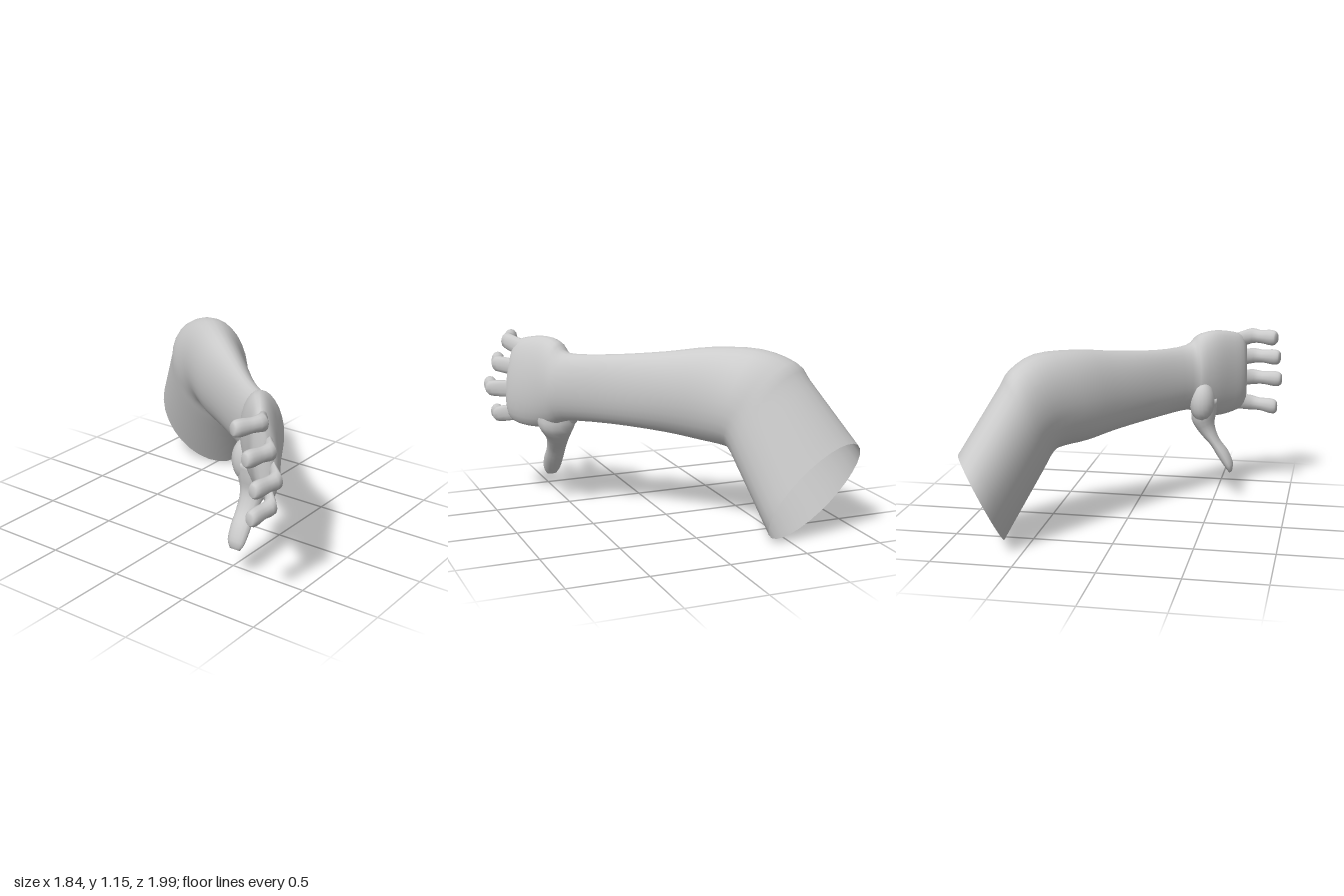
import * as THREE from 'three';

const V = (p) => new THREE.Vector3(...p);
const skin = new THREE.MeshStandardMaterial({ color: 0xcccccc, side: THREE.DoubleSide });

// Loft through elliptical sections [centre, half axis a, half axis b],
// listed so that a x b points along the loft; the ends can be closed.
function loft(name, sections, sides, steps, capStart, capEnd) {
  const [cs, as, bs] = [0, 1, 2].map(
    (k) => new THREE.CatmullRomCurve3(sections.map((s) => V(s[k])), false, 'catmullrom', 0.5));
  const rows = (sections.length - 1) * steps;
  const pos = [], idx = [];
  for (let i = 0; i <= rows; i++) {
    const t = i / rows;
    const c = cs.getPoint(t), a = as.getPoint(t), b = bs.getPoint(t);
    for (let j = 0; j < sides; j++) {
      const w = (j / sides) * Math.PI * 2;
      const p = c.clone().addScaledVector(a, Math.cos(w)).addScaledVector(b, Math.sin(w));
      pos.push(p.x, p.y, p.z);
    }
  }
  for (let i = 0; i < rows; i++) {
    for (let j = 0; j < sides; j++) {
      const k = (j + 1) % sides;
      const p = i * sides + j, q = i * sides + k;
      idx.push(p, q, p + sides, q, q + sides, p + sides);
    }
  }
  const cap = (row, centre, flip) => {
    const m = pos.length / 3;
    pos.push(...centre);
    for (let j = 0; j < sides; j++) {
      const p = row * sides + j, q = row * sides + ((j + 1) % sides);
      idx.push(m, ...(flip ? [q, p] : [p, q]));
    }
  };
  if (capStart) cap(0, sections[0][0], true);
  if (capEnd) cap(rows, sections[sections.length - 1][0], false);
  const g = new THREE.BufferGeometry();
  g.setAttribute('position', new THREE.Float32BufferAttribute(pos, 3));
  g.setIndex(idx);
  g.computeVertexNormals();
  const mesh = new THREE.Mesh(g, skin);
  mesh.name = name;
  return mesh;
}

const lerpSection = (s, e, t) =>
  s.map((v, k) => v.map((x, i) => x + (e[k][i] - x) * t));

// Palm, wrist, forearm, bent elbow and open upper arm
function makeArm() {
  const elbow = [[0.515, 0.795, -0.435], [0.085, 0.28, -0.14], [0.12, 0, 0.215]];
  const end = [[0.775, 0.3, -0.665], [0.083, 0.3, -0.168], [0.119, 0, 0.29]];
  return loft('arm', [
    [[-0.675, 0.84, 0.83], [0, 0.19, -0.02], [0.01, 0, 0.03]],
    [[-0.64, 0.84, 0.81], [0, 0.26, -0.03], [0.03, 0, 0.065]],
    [[-0.56, 0.84, 0.75], [0, 0.292, -0.03], [0.035, 0, 0.09]],
    [[-0.46, 0.845, 0.665], [0, 0.3, -0.02], [0.05, 0, 0.105]],
    [[-0.37, 0.845, 0.605], [0, 0.275, -0.01], [0.06, 0, 0.115]],
    [[-0.3, 0.835, 0.555], [0, 0.222, 0], [0.06, 0, 0.105]],
    [[-0.13, 0.835, 0.32], [0, 0.226, 0], [0.07, 0, 0.075]],
    [[0.095, 0.842, 0.045], [0, 0.257, 0], [0.095, 0, 0.095]],
    [[0.27, 0.85, -0.165], [0.02, 0.295, -0.03], [0.12, 0, 0.12]],
    [[0.435, 0.845, -0.33], [0.05, 0.304, -0.08], [0.13, 0, 0.17]],
    elbow,
    lerpSection(elbow, end, 0.2),
    lerpSection(elbow, end, 0.6),
    end,
  ], 28, 3, true, false);
}

// Curled finger: base, middle joint and tip as [x, y, z]
function makeFinger(name, base, joint, tip) {
  const along = V(tip).sub(V(joint));
  const at = (t) => V(joint).addScaledVector(along, t).toArray();
  const n = V([along.z, 0, -along.x]).normalize();
  const sec = (c, h, w) => [c, [0, h, 0], [-n.x * w, 0, -n.z * w]];
  const root = V(base).lerp(V(joint), 0.6).toArray();
  return loft(name, [
    [base, [0, 0.06, 0], [0.03, 0, -0.05]],
    [root, [0, 0.055, 0], [0.02, 0, -0.047]],
    [joint, [0, 0.053, 0], [0, 0, -0.046]],
    sec(at(0.35), 0.045, 0.042),
    sec(at(0.7), 0.053, 0.043),
    sec(at(0.92), 0.05, 0.04),
    sec(at(1.02), 0.034, 0.027),
  ], 12, 2, true, true);
}

// Thumb hanging below the palm, thin across x and wide across z
function makeThumb() {
  const sec = (x, y, z, rx, rz, tilt) => [[x, y, z], [rx, -tilt * rx, 0], [0, 0, rz]];
  return loft('thumb', [
    sec(-0.42, 0.68, 0.6, 0.085, 0.13, 0.1),
    sec(-0.415, 0.57, 0.605, 0.085, 0.125, 0.3),
    sec(-0.44, 0.48, 0.59, 0.05, 0.08, 0.6),
    sec(-0.495, 0.39, 0.585, 0.03, 0.065, 0.6),
    sec(-0.55, 0.31, 0.588, 0.034, 0.066, 0.6),
    sec(-0.595, 0.23, 0.588, 0.026, 0.058, 0.6),
    sec(-0.607, 0.185, 0.588, 0.011, 0.035, 0.5),
  ], 14, 3, true, true);
}

export function createModel() {
  const model = new THREE.Group();
  model.name = 'bentArm';
  model.add(makeArm(), makeThumb());

  const fingers = [
    ['littleFinger', [-0.53, 1.03, 0.735], [-0.71, 1.085, 0.835], [-0.88, 1.085, 0.765]],
    ['ringFinger', [-0.53, 0.92, 0.76], [-0.72, 0.935, 0.9], [-0.9, 0.935, 0.86]],
    ['middleFinger', [-0.53, 0.79, 0.77], [-0.72, 0.775, 0.945], [-0.91, 0.77, 0.92]],
    ['indexFinger', [-0.53, 0.65, 0.76], [-0.71, 0.6, 0.905], [-0.885, 0.58, 0.885]],
  ];
  for (const f of fingers) model.add(makeFinger(...f));

  // Fleshy pad at the root of the thumb
  const pad = new THREE.Mesh(new THREE.SphereGeometry(1, 18, 12), skin);
  pad.name = 'thumbPad';
  pad.scale.set(0.085, 0.14, 0.1);
  pad.position.set(-0.41, 0.68, 0.535);
  model.add(pad);
  return model;
}
